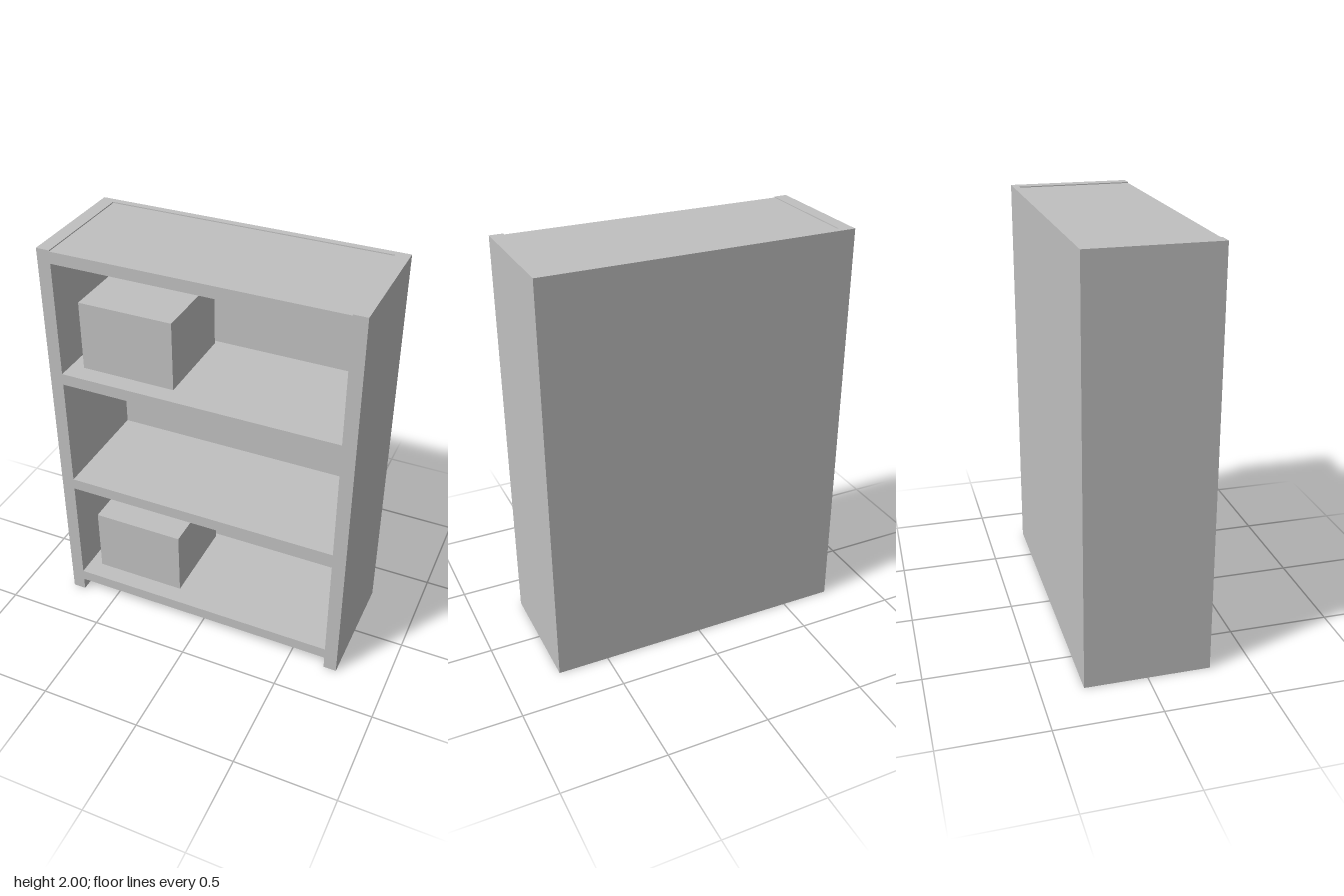
import * as THREE from 'three';

export function createModel() {
  const model = new THREE.Group();
  model.name = 'shelfUnit';
  const grey = new THREE.MeshStandardMaterial({ color: 0xc0c0c0 });
  grey.name = 'plainGrey';

  // Box given by its extents on each axis
  function block(name, [x0, x1], [y0, y1], [z0, z1]) {
    const mesh = new THREE.Mesh(new THREE.BoxGeometry(x1 - x0, y1 - y0, z1 - z0), grey);
    mesh.position.set((x0 + x1) / 2, (y0 + y1) / 2, (z0 + z1) / 2);
    mesh.name = name;
    model.add(mesh);
  }

  const inner = 0.685, outer = 0.75, depth = 0.3, backFace = -0.268;

  // Side panels and back panel
  block('leftSide', [inner, outer], [0, 2], [-depth, depth]);
  block('rightSide', [-outer, -inner], [0, 2], [-depth, depth]);
  block('backPanel', [-inner, inner], [0, 2], [-depth, backFace]);

  // Four boards; the top one sits just below the rim
  const boardTops = [0.125, 0.749, 1.372, 1.995];
  boardTops.forEach((top, i) => {
    block(i === 3 ? 'topBoard' : `shelf${i + 1}`, [-inner, inner], [top - 0.058, top], [backFace, depth]);
  });

  // Storage boxes on the lowest and third boards
  for (const [name, i] of [['lowerBox', 0], ['upperBox', 2]]) {
    const y = boardTops[i];
    block(name, [-0.62, -0.153], [y, y + 0.345], [-0.245, 0.21]);
  }

  return model;
}
